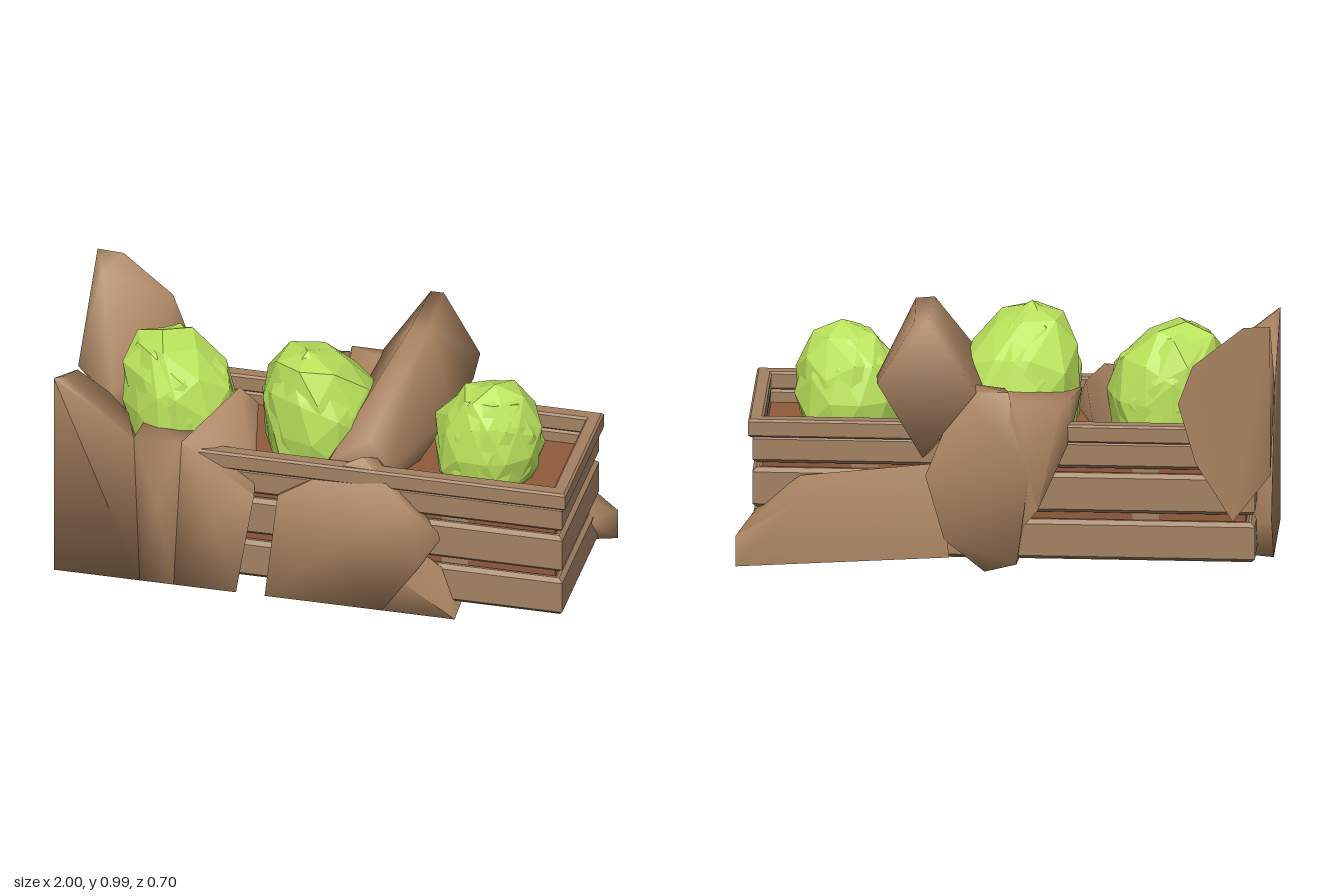
import * as THREE from 'three';
import { toCreasedNormals } from 'three/addons/utils/BufferGeometryUtils.js';
import { ConvexGeometry } from 'three/addons/geometries/ConvexGeometry.js';

const wood = new THREE.MeshStandardMaterial({ color: 0xa38262 });
const stone = new THREE.MeshStandardMaterial({ color: 0xa98360 });
const soil = new THREE.MeshStandardMaterial({ color: 0x915b3c });
const leaf = new THREE.MeshStandardMaterial({ color: 0xbbe35c, flatShading: true });

function add(parent, name, geometry, material, x = 0, y = 0, z = 0) {
  const mesh = new THREE.Mesh(geometry, material);
  mesh.name = name;
  mesh.position.set(x, y, z);
  parent.add(mesh);
  return mesh;
}

function rectangle(path, hx, hz) {
  path.moveTo(-hx, -hz);
  path.lineTo(hx, -hz);
  path.lineTo(hx, hz);
  path.lineTo(-hx, hz);
  path.closePath();
  return path;
}

// Rectangular ring of planks with chamfered edges, from y0 to y1
function frame(hx, hz, wall, y0, y1, bevel) {
  const shape = rectangle(new THREE.Shape(), hx - bevel, hz - bevel);
  shape.holes.push(rectangle(new THREE.Path(), hx - wall + bevel, hz - wall + bevel));
  const geometry = new THREE.ExtrudeGeometry(shape, {
    depth: y1 - y0 - 2 * bevel, bevelSize: bevel, bevelThickness: bevel, bevelSegments: 1,
  });
  return geometry.rotateX(-Math.PI / 2).translate(0, y0 + bevel, 0);
}

// Boulder wrapped around a few corner points, softly shaded
function boulder(points) {
  const hull = new ConvexGeometry(points.map((p) => new THREE.Vector3(...p)));
  return toCreasedNormals(hull, 1.7);
}

// Faceted shell: an icosahedron with a seeded dent per direction, leaning towards its peak
function shell(rx, ry, rz, leanX, leanZ, seed) {
  const geometry = new THREE.IcosahedronGeometry(1, 1).rotateY(seed * 0.7);
  const pos = geometry.attributes.position;
  const v = new THREE.Vector3();
  for (let i = 0; i < pos.count; i++) {
    v.fromBufferAttribute(pos, i);
    const key = Math.round(v.x * 50) * 12.99 + Math.round(v.y * 50) * 78.23 + Math.round(v.z * 50) * 37.72;
    const hash = Math.abs(Math.sin(key + seed) * 4375.85) % 1;
    v.multiplyScalar(0.92 + 0.14 * hash);
    const up = Math.max(0, v.y) ** 2;
    pos.setXYZ(i, v.x * rx + leanX * up, v.y * ry, v.z * rz + leanZ * up);
  }
  geometry.computeVertexNormals();
  return geometry;
}

// Head of two crossing shells, so the leaves overlap in ragged folds
function cabbage(parent, name, [x, y, z], [rx, ry, rz], leanX, leanZ, seed) {
  const group = new THREE.Group();
  group.name = name;
  group.position.set(x, y, z);
  add(group, 'innerLeaves', shell(rx, ry, rz, leanX, leanZ, seed), leaf);
  add(group, 'outerLeaves', shell(rx, ry * 0.95, rz, leanX, leanZ, seed + 4), leaf);
  parent.add(group);
}

export function createModel() {
  const model = new THREE.Group();
  model.name = 'crateAmongRocks';

  // Crate: three plank rings, rim, soil and cleats
  const crate = new THREE.Group();
  crate.name = 'crate';
  model.add(crate);
  [[0.04, 0.195], [0.225, 0.38], [0.4, 0.51]].forEach(([y0, y1], i) =>
    add(crate, `plankRing${i + 1}`, frame(0.94, 0.296, 0.04, y0, y1, 0.015), wood));
  add(crate, 'rim', frame(0.955, 0.31, 0.057, 0.505, 0.575, 0.008), wood);
  add(crate, 'soil', new THREE.BoxGeometry(1.81, 0.41, 0.524), soil, 0, 0.25, 0);
  add(crate, 'bottomBoard', new THREE.BoxGeometry(1.86, 0.02, 0.57), wood, 0, 0.051, 0);
  for (const x of [-0.53, 0.52])
    for (const s of [-1, 1])
      add(crate, 'cleat', new THREE.BoxGeometry(0.1, 0.42, 0.025), wood, x, 0.3, s * 0.252);

  // Green heads resting in the crate
  cabbage(model, 'cabbageLeftEnd', [-0.59, 0.61, 0], [0.22, 0.3, 0.205], -0.09, 0, 1);
  cabbage(model, 'cabbageMiddle', [-0.045, 0.61, 0.01], [0.23, 0.33, 0.23], -0.04, 0.08, 2);
  cabbage(model, 'cabbageRightEnd', [0.585, 0.59, 0.01], [0.205, 0.28, 0.185], 0.04, 0.04, 3);

  // Boulders, cut flat where they meet the block's outer faces
  const rocks = {
    frontCornerRock: [
      [-1, 0, 0.35], [-1, 0.835, 0.35], [-0.97, 0.82, 0.3], [-0.67, 0, 0.35], [-0.7, 0.6, 0.32],
      [-0.86, 0.4, 0.35], [-0.76, 0.6, 0.15], [-1, 0, -0.1], [-1, 0.2, -0.25], [-1, 0.65, -0.03],
      [-0.86, 0.62, 0.05], [-0.75, 0, -0.04],
    ],
    frontSliverRock: [
      [-0.7, 0.6, 0.32], [-0.52, 0.6, 0.32], [-0.67, 0, 0.35], [-0.54, 0, 0.35], [-0.61, 0.35, 0.35],
      [-0.7, 0.57, 0.12], [-0.5, 0.56, 0.1], [-0.7, 0, 0], [-0.5, 0, 0.06],
    ],
    frontLeaningRock: [
      [-0.54, 0, 0.35], [-0.3, 0, 0.35], [-0.235, 0.42, 0.33], [-0.26, 0.5, 0.25], [-0.52, 0.6, 0.31],
      [-0.4, 0.3, 0.35], [-0.42, 0.6, 0.27], [-0.36, 0.705, 0.04], [-0.29, 0.64, 0.03],
      [-0.43, 0.64, 0.1], [-0.38, 0, 0.08], [-0.54, 0, 0.06],
    ],
    backCornerRock: [
      [-1, 0.99, -0.35], [-0.9, 0.985, -0.35], [-0.71, 0.83, -0.35], [-0.655, 0.68, -0.35],
      [-0.72, 0.45, -0.35], [-0.86, 0.22, -0.35], [-1, 0.4, -0.33], [-1, 0.66, -0.04],
      [-0.86, 0.58, 0.02], [-0.74, 0.58, -0.1], [-0.96, 0.95, -0.25], [-0.7, 0.7, -0.24],
    ],
    frontMiddleRock: [
      [-0.19, 0, 0.35], [-0.15, 0.42, 0.31], [-0.1, 0.45, 0.24], [0.17, 0.62, 0.29], [0.22, 0.6, 0.25],
      [0.36, 0.44, 0.33], [0.48, 0.32, 0.29], [0.4, 0.2, 0.34], [0.26, 0, 0.35], [0.12, 0.3, 0.35],
      [0.3, 0, 0.08], [-0.05, 0, 0.1],
    ],
    frontLowRock: [
      [0.26, 0, 0.35], [0.54, 0, 0.35], [0.47, 0.21, 0.32], [0.38, 0.27, 0.31], [0.3, 0.15, 0.34],
      [0.53, 0, 0.1], [0.2, 0, 0.07],
    ],
    tallLeaningRock: [
      [0.27, 0.99, -0.06], [0.34, 0.99, -0.08], [0.28, 0.985, -0.35], [0.33, 0.985, -0.35],
      [0.1, 0.71, -0.35], [0.47, 0.74, -0.35], [0.48, 0.72, -0.2], [0.15, 0.78, -0.1], [0.44, 0.65, -0.05],
      [0.19, 0.67, 0.24], [0.27, 0.56, 0.25], [0.02, 0.54, 0.26], [0.3, 0.42, 0], [0.3, 0.45, -0.35],
    ],
    backMiddleRock: [
      [0.29, 0.38, -0.35], [0.16, 0.71, -0.34], [-0.02, 0.71, -0.34], [-0.1, 0.4, -0.35], [-0.05, 0.03, -0.33],
      [0.07, 0, -0.33], [0.22, 0.13, -0.35], [0.1, 0.72, -0.28], [0.2, 0.55, -0.1], [0, 0.68, -0.2],
      [0.04, 0, -0.06], [-0.06, 0, -0.06],
    ],
    backSideRock: [
      [-0.03, 0.68, -0.35], [-0.22, 0.66, -0.35], [-0.25, 0.66, -0.25], [-0.28, 0.63, -0.02],
      [-0.24, 0.5, -0.33], [-0.13, 0.25, -0.35], [0, 0.08, -0.3], [0.02, 0.66, -0.1],
    ],
    backLowRock: [
      [1, 0.01, -0.35], [1, 0.13, -0.35], [0.94, 0.17, -0.17], [0.92, 0.22, -0.26], [0.76, 0.36, -0.31],
      [0.25, 0.42, -0.32], [0.2, 0.06, -0.35], [0.75, 0.28, -0.35], [0.85, 0.04, -0.25], [0.25, 0.1, -0.2],
    ],
  };
  for (const [name, points] of Object.entries(rocks)) add(model, name, boulder(points), stone);

  return model;
}
